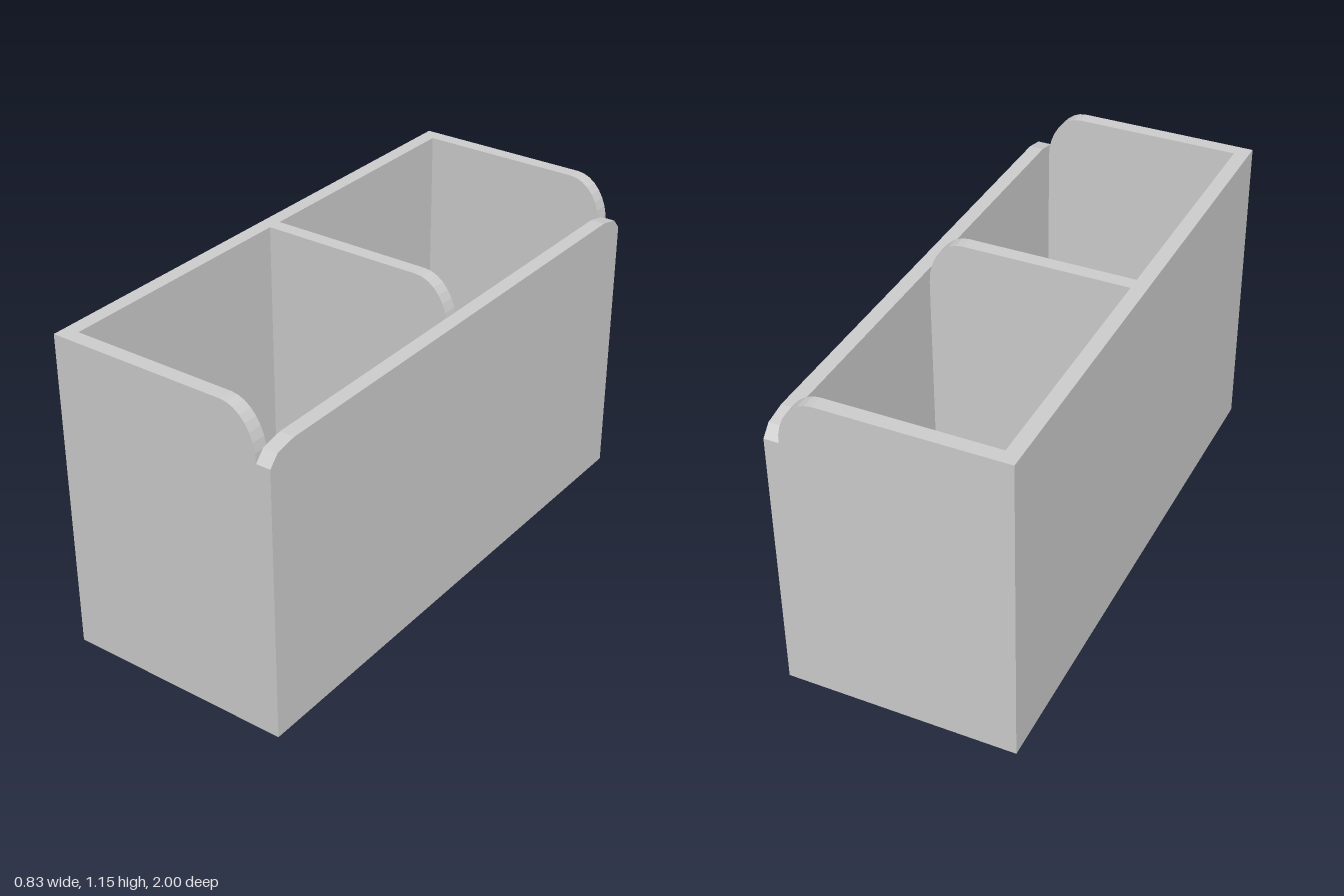
import * as THREE from 'three';

const W = 0.413;   // half width (x)
const T = 0.052;   // wall thickness
const H = 1.155;   // height of back wall and partitions
const FLOOR = 0.05;

export function createModel() {
  const group = new THREE.Group();
  const material = new THREE.MeshStandardMaterial({ color: 0xcccccc, flatShading: true });
  const add = (name, geometry, x, y, z) => {
    const mesh = new THREE.Mesh(geometry, material);
    mesh.name = name;
    mesh.position.set(x, y, z);
    group.add(mesh);
  };
  const extrude = (points, depth) => new THREE.ExtrudeGeometry(
    new THREE.Shape(points.map(([x, y]) => new THREE.Vector2(x, y))),
    { depth, bevelEnabled: false });

  // Tall plain wall
  add('tallWall', new THREE.BoxGeometry(T, H, 2), -W + T / 2, H / 2, 0);

  // Lower panel with clipped top corners, drawn in z and y
  const corner = [[1, 0], [1, 0.983], [0.965, 1.021], [0.89, 1.037]];
  const mirrored = corner.map(([z, y]) => [-z, y]).reverse();
  add('lowPanel', extrude([...corner, ...mirrored], T).rotateY(Math.PI / 2), W - T, 0, 0);

  // End walls and divider, each with a rounded shoulder
  const inner = W - T;
  const shoulder = [];
  for (let i = 0; i <= 8; i++) {
    const a = (i / 8) * Math.PI / 2;
    shoulder.push([0.235 + (inner - 0.235) * Math.cos(a), 0.983 + (H - 0.983) * Math.sin(a)]);
  }
  const profile = [[-inner, 0], [inner, 0], ...shoulder, [-inner, H]];
  const walls = { frontEndWall: 1 - T, divider: -T / 2, backEndWall: -1 };
  for (const [name, z] of Object.entries(walls)) add(name, extrude(profile, T), 0, 0, z);

  // Floor of each compartment
  const length = 1 - 1.5 * T;
  for (const side of [1, -1]) {
    add('compartmentFloor', new THREE.BoxGeometry(2 * inner, FLOOR, length),
      0, FLOOR / 2, side * (T / 2 + length / 2));
  }
  return group;
}
